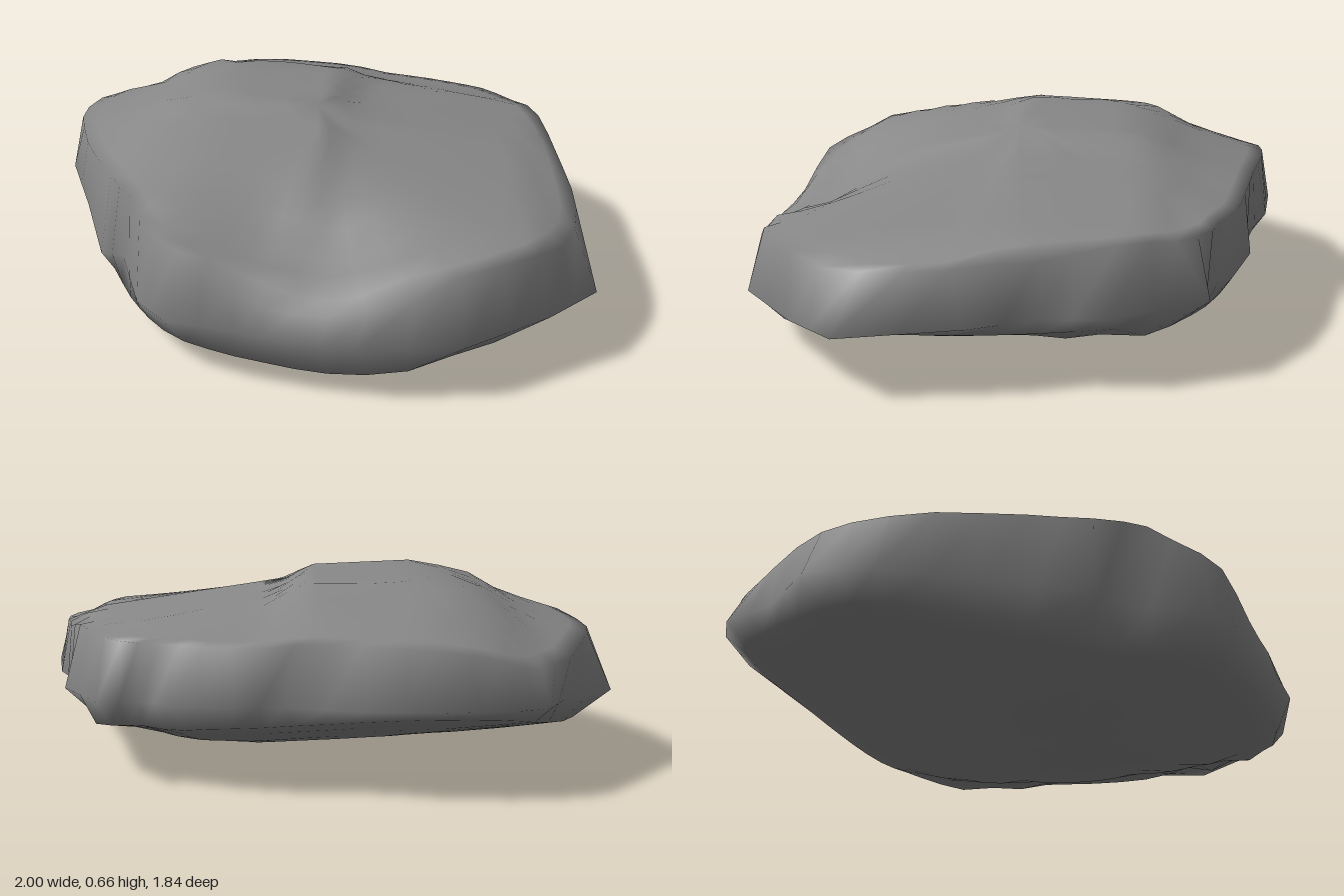
import * as THREE from 'three';

// Plan outline of the boulder (x, z)
const outline = [
  [-0.38, -0.92], [-0.16, -0.9], [0.1, -0.81], [0.26, -0.83], [0.47, -0.77], [0.56, -0.67], [0.7, -0.69],
  [0.85, -0.37], [0.85, -0.16], [0.93, 0.06], [1, 0.47], [0.85, 0.64], [0.59, 0.85], [0.25, 0.92],
  [0.03, 0.9], [-0.14, 0.86], [-0.39, 0.82], [-0.5, 0.72], [-0.62, 0.44], [-0.7, 0.43], [-0.84, 0.1],
  [-0.98, -0.2], [-1, -0.43], [-0.81, -0.63], [-0.73, -0.83], [-0.62, -0.89],
];

// Height profiles along x and z: [position, height]
const topX = [[-1, 0.44], [-0.96, 0.47], [-0.67, 0.56], [-0.55, 0.63], [-0.36, 0.67], [0.04, 0.65],
  [0.12, 0.6], [0.4, 0.56], [0.8, 0.5], [0.86, 0.45], [0.96, 0.44], [1, 0.41]];
const topZ = [[-0.92, 0.46], [-0.88, 0.49], [-0.57, 0.58], [-0.48, 0.64], [-0.2, 0.66], [0, 0.67],
  [0.08, 0.64], [0.28, 0.61], [0.6, 0.55], [0.65, 0.52], [0.8, 0.48], [0.84, 0.4], [0.92, 0.34]];
const lowX = [[-1, 0.19], [-0.67, 0.1], [-0.4, 0.06], [0.2, 0], [0.45, 0.03], [0.56, 0.1],
  [0.73, 0.12], [0.76, 0.18], [1, 0.23]];
const lowZ = [[-0.92, 0.28], [-0.72, 0.19], [-0.55, 0.13], [-0.4, 0.08], [0, 0.01], [0.3, 0],
  [0.6, 0.03], [0.67, 0.07], [0.87, 0.08], [0.92, 0.12]];

function sample(table, t) {
  if (t <= table[0][0]) return table[0][1];
  for (let i = 1; i < table.length; i++) {
    const [t0, v0] = table[i - 1], [t1, v1] = table[i];
    if (t <= t1) return v0 + (v1 - v0) * (t - t0) / (t1 - t0);
  }
  return table[table.length - 1][1];
}

const rimY = (x, z) => 0.25 - 0.05 * z;

// Smooth hollow of given depth around (cx, cz)
const hollow = (x, z, cx, cz, depth, wx, wz) =>
  depth * Math.exp(-((x - cx) ** 2) / wx - ((z - cz) ** 2) / wz);

// Upper surface: crown, scooped front slope and worn back right corner
function topY(x, z) {
  const a = sample(topX, x), b = sample(topZ, z);
  const soft = 0.25 + (a - 0.25) * (b - 0.25) / 0.42;
  const worn = hollow(x, z, 0, 0.7, 0.12, 0.12, 0.06) + hollow(x, z, -0.85, -0.8, 0.08, 0.08, 0.08);
  return Math.max(0.3 * Math.min(a, b) + 0.7 * soft - worn, rimY(x, z) + 0.04);
}

// Underside: keel rising towards the corners
function lowY(x, z) {
  const a = sample(lowX, x), b = sample(lowZ, z);
  const soft = 0.3 - (0.3 - a) * (0.3 - b) / 0.3;
  return Math.min(0.25 * Math.max(a, b) + 0.75 * soft, rimY(x, z) - 0.02);
}

function boulderGeometry() {
  // Rim with a midpoint on every outline edge, and a rounder ring for the other layers
  const rim = outline.flatMap(([x, z], i) => {
    const [nx, nz] = outline[(i + 1) % outline.length];
    return [[x, z], [(x + nx) / 2, (z + nz) / 2]];
  });
  const n = rim.length;
  const round = rim.map((_, i) => [0, 1].map((axis) =>
    [-2, -1, 0, 1, 2].reduce((sum, d) => sum + rim[(i + d + n) % n][axis] / 5, 0)));
  const layers = [
    ...[0.15, 0.3, 0.45, 0.6, 0.73, 0.85, 0.96].map((s) => [s, lowY, round]),
    [1, rimY, rim],
    ...[0.98, 0.92, 0.83, 0.73, 0.62, 0.5, 0.38, 0.26, 0.13].map((s) => [s, topY, round]),
  ];
  const pos = [], index = [];
  for (const [s, height, ring] of layers) {
    for (const [x, z] of ring) pos.push(x * s, height(x * s, z * s), z * s);
  }
  const bottom = pos.length / 3, top = bottom + 1;
  pos.push(0, lowY(0, 0), 0, 0, topY(0, 0), 0);

  // Skin the layers and close both ends
  const last = (layers.length - 1) * n;
  for (let j = 0; j < n; j++) {
    const k = (j + 1) % n;
    for (let i = 0; i < last; i += n) {
      index.push(i + j, i + n + j, i + k, i + k, i + n + j, i + n + k);
    }
    index.push(bottom, j, k, last + j, top, last + k);
  }
  const geometry = new THREE.BufferGeometry();
  geometry.setAttribute('position', new THREE.Float32BufferAttribute(pos, 3));
  geometry.setIndex(index);
  geometry.computeBoundingBox();
  geometry.translate(0, -geometry.boundingBox.min.y, 0);
  geometry.computeVertexNormals();
  return geometry;
}

export function createModel() {
  const group = new THREE.Group();
  group.name = 'rock';
  const boulder = new THREE.Mesh(boulderGeometry(), new THREE.MeshStandardMaterial({ color: 0x888888 }));
  boulder.name = 'boulder';
  group.add(boulder);
  return group;
}
